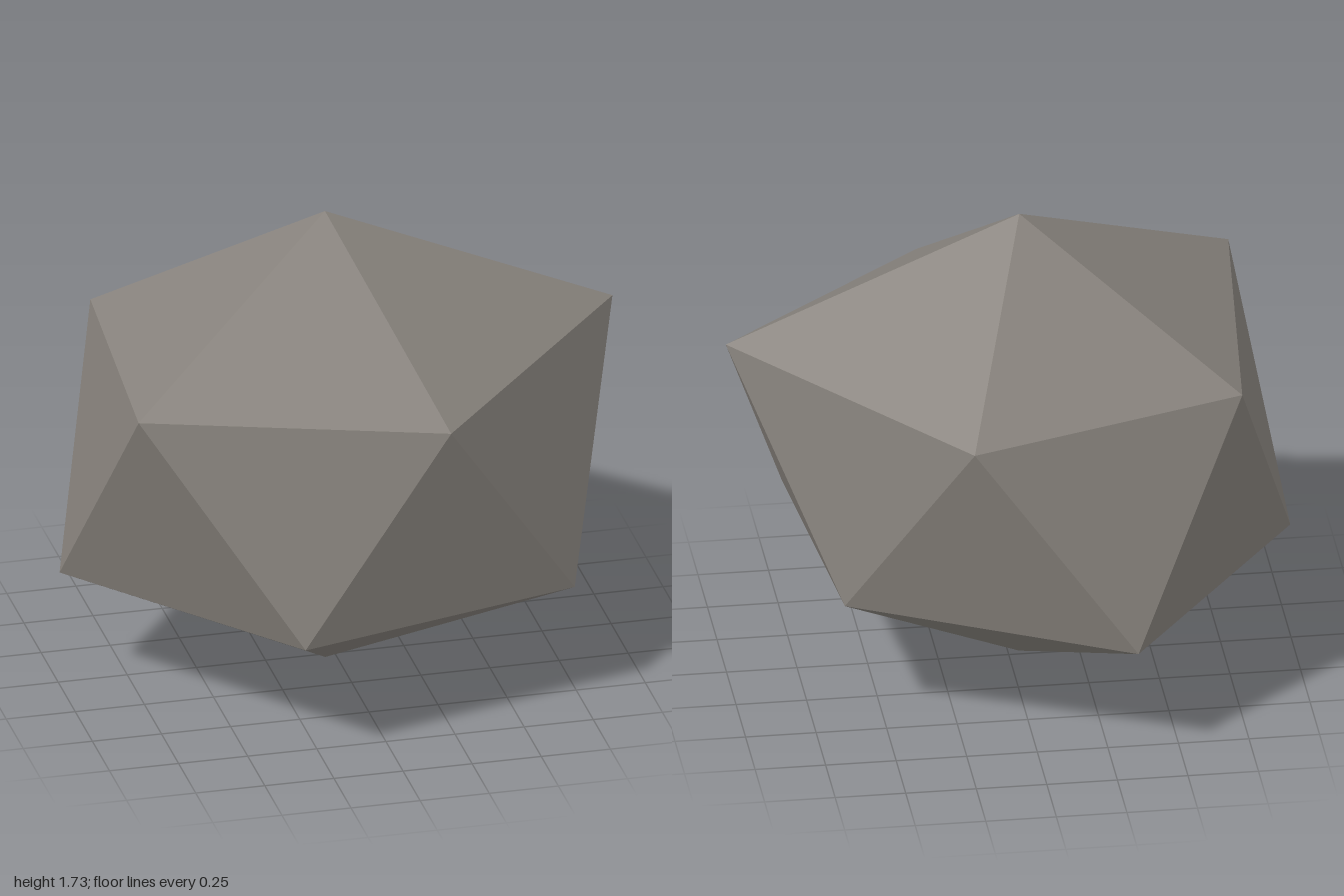
import * as THREE from 'three';

export function createModel() {
  const group = new THREE.Group();
  const stone = new THREE.MeshStandardMaterial({ color: 0x87827c, flatShading: true });
  stone.name = 'warm grey stone';

  // Two poles and two staggered five-point rings, ordered around the y axis
  const top = [-0.04, 1.73, 0.02];
  const bottom = [-0.04, 0, 0.025];
  const upper = [
    [1, 1.285, 0.02], [0.22, 1.2, 0.815], [-0.86, 1.27, 0.61], [-0.76, 1.23, -0.5], [0.23, 1.22, -0.815],
  ];
  const lower = [
    [0.725, 0.44, 0.58], [-0.325, 0.455, 0.89], [-1, 0.435, 0.02], [-0.34, 0.435, -0.89], [0.645, 0.48, -0.475],
  ];

  // Cap, zigzag belt and base, one wedge at a time
  const positions = [];
  const face = (...corners) => corners.forEach((p) => positions.push(...p));
  for (let i = 0; i < 5; i++) {
    const j = (i + 1) % 5;
    face(top, upper[j], upper[i]);
    face(upper[i], upper[j], lower[i]);
    face(lower[i], upper[j], lower[j]);
    face(lower[i], lower[j], bottom);
  }

  const geometry = new THREE.BufferGeometry();
  geometry.setAttribute('position', new THREE.Float32BufferAttribute(positions, 3));
  geometry.computeVertexNormals();

  const rock = new THREE.Mesh(geometry, stone);
  rock.name = 'rock';
  group.add(rock);
  return group;
}
